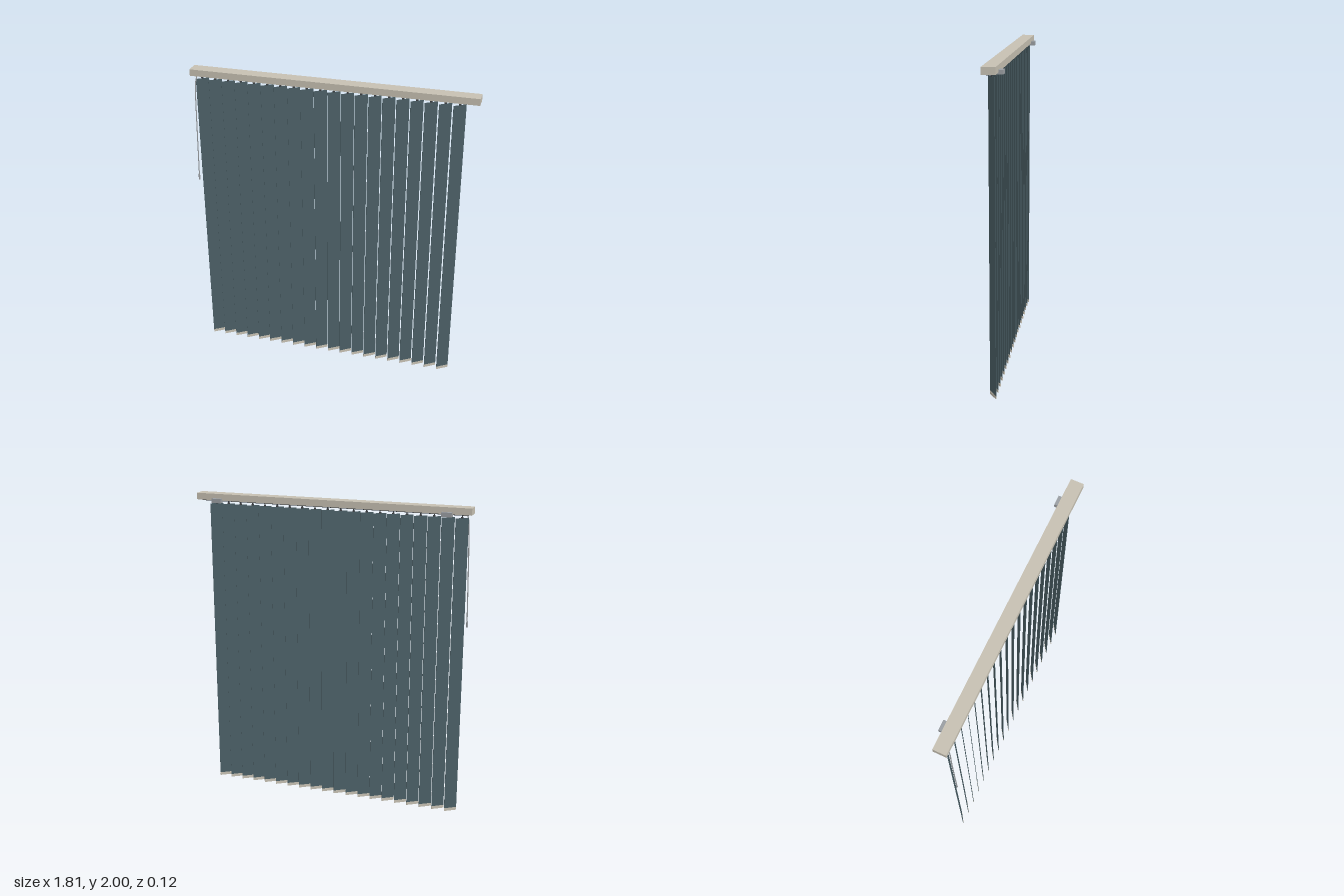
import * as THREE from 'three';

export function createModel() {
  const model = new THREE.Group();
  const mat = (color) => new THREE.MeshStandardMaterial({ color });
  const beige = mat(0xc6c0b2), fabric = mat(0x4b5f66), metal = mat(0x9a9ea2), dark = mat(0x3c4044);

  const add = (parent, name, geometry, material, x, y, z) => {
    const mesh = new THREE.Mesh(geometry, material);
    mesh.name = name;
    mesh.position.set(x, y, z);
    parent.add(mesh);
    return mesh;
  };
  const box = (w, h, d) => new THREE.BoxGeometry(w, h, d);

  // Head rail with the carrier track below it
  const midZ = 0.005;
  add(model, 'headRail', box(1.81, 0.042, 0.082), beige, 0, 1.979, midZ);
  add(model, 'track', box(1.755, 0.008, 0.03), dark, 0, 1.954, midZ);

  // Wall brackets behind the rail
  for (const side of [-1, 1]) {
    add(model, 'wallBracket', box(0.064, 0.027, 0.04), metal, side * 0.757, 1.958, -0.041);
  }

  // Evenly spaced slats, all turned by the same angle, each with carrier and weight
  const count = 20, pitch = 0.0854, width = 0.084;
  const clothGeo = box(width, 1.915, 0.003);
  const weightGeo = box(width, 0.02, 0.005);
  const stemGeo = new THREE.CylinderGeometry(0.004, 0.004, 0.022, 8);
  const clipGeo = box(0.014, 0.008, 0.006);
  for (let i = 0; i < count; i++) {
    const slat = new THREE.Group();
    slat.name = 'slat';
    slat.position.set(-0.839 + i * pitch, 0, midZ);
    slat.rotation.y = THREE.MathUtils.degToRad(34);
    add(slat, 'cloth', clothGeo, fabric, 0, 0.9755, 0);
    add(slat, 'bottomWeight', weightGeo, beige, 0, 0.01, 0);
    add(slat, 'carrierStem', stemGeo, dark, 0, 1.943, 0);
    add(slat, 'carrierClip', clipGeo, dark, 0, 1.936, 0);
    model.add(slat);
  }

  // Control wand hanging from the rail, with a thicker grip at its end
  const path = new THREE.CatmullRomCurve3([
    new THREE.Vector3(-0.862, 1.957, 0.036),
    new THREE.Vector3(-0.871, 1.91, 0.046),
    new THREE.Vector3(-0.877, 1.75, 0.049),
    new THREE.Vector3(-0.881, 1.55, 0.052),
    new THREE.Vector3(-0.886, 1.25, 0.057),
  ]);
  add(model, 'wand', new THREE.TubeGeometry(path, 32, 0.0035, 8), metal, 0, 0, 0);
  add(model, 'wandGrip', new THREE.CylinderGeometry(0.005, 0.006, 0.04, 10), metal, -0.886, 1.265, 0.056);

  return model;
}
